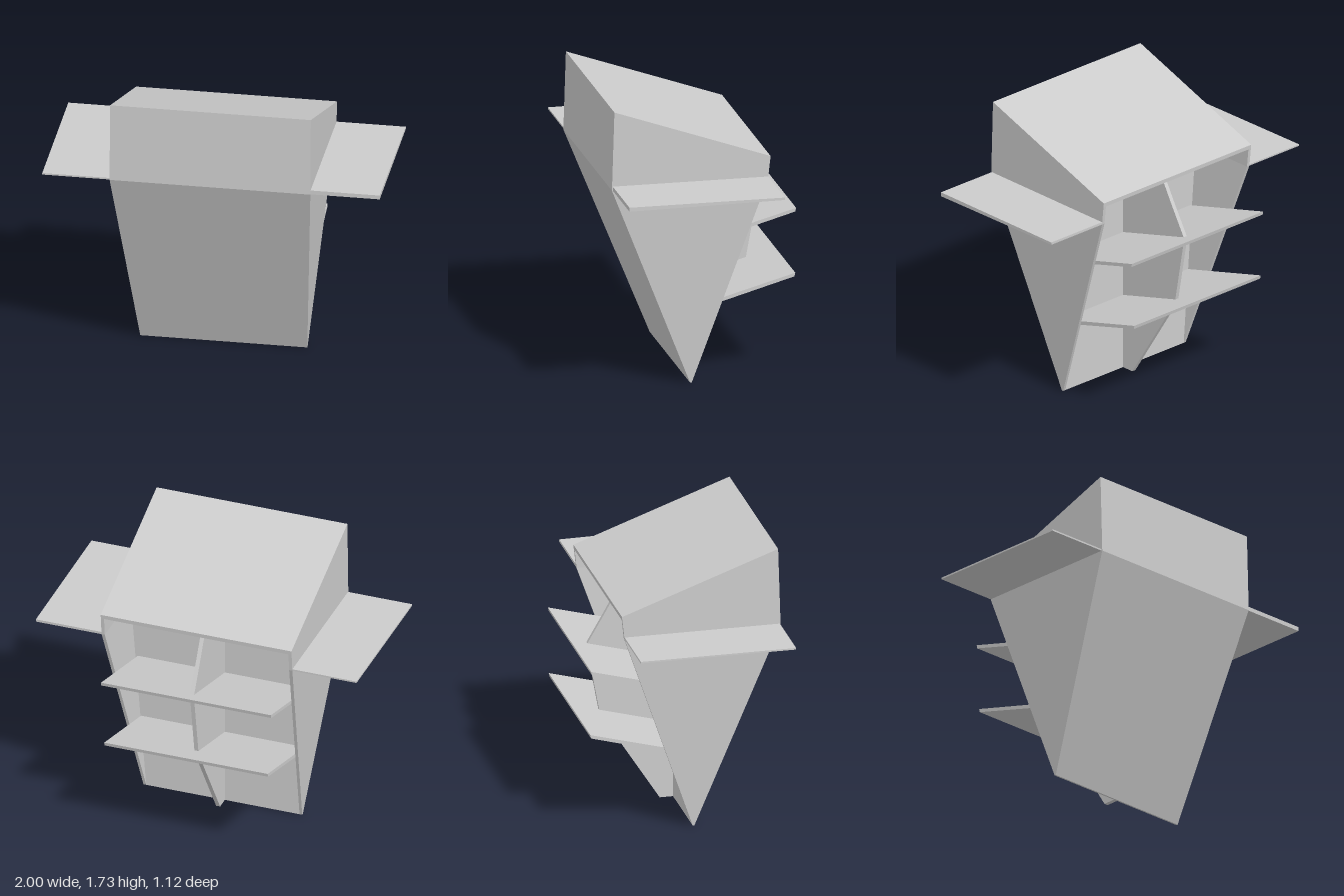
import * as THREE from 'three';

const CX = -0.005;      // middle plane of the cabinet
const HALF = 0.595;     // half width at and above the wings
const SEAM = 1.25;      // height where the taper ends
const T = 0.02;         // board thickness

const material = new THREE.MeshStandardMaterial({ color: 0xcccccc, flatShading: true });

// Board with a (z, y) outline, spanning x0..x1; tapered boards narrow towards the ground
function board(name, outline, x0, x1, tapered = false) {
  const shape = new THREE.Shape(outline.map(([z, y]) => new THREE.Vector2(z, y)));
  const geo = new THREE.ExtrudeGeometry(shape, { depth: x1 - x0, bevelEnabled: false });
  geo.rotateY(-Math.PI / 2).translate(x1, 0, 0);
  if (tapered) {
    const p = geo.attributes.position;
    for (let i = 0; i < p.count; i++) {
      const k = (0.495 + 0.1 * Math.min(1, p.getY(i) / SEAM)) / HALF;
      p.setX(i, CX + (p.getX(i) - CX) * k);
    }
  }
  geo.computeVertexNormals();
  const mesh = new THREE.Mesh(geo, material);
  mesh.name = name;
  return mesh;
}

export function createModel() {
  const model = new THREE.Group();
  model.name = 'displayStand';
  const L = CX - HALF, R = CX + HALF;

  // Leaning front and the box front above it
  model.add(board('frontPanel', [[0.07, 0], [0.565, SEAM], [0.545, SEAM], [0.06, 0]], L, R, true));
  model.add(board('hoodFront', [[0.565, SEAM], [0.55, 1.73], [0.53, 1.72], [0.545, SEAM]], L, R));

  // Sloping lid, open at the back
  model.add(board('hoodTop', [[0.55, 1.73], [-0.39, 1.39], [-0.388, 1.365], [0.55, 1.705]], L, R));

  // Side walls: tapering triangle below, hood cheek above
  for (const [side, x0, x1] of [['right', L, L + T], ['left', R - T, R]]) {
    model.add(board(side + 'SidePanel', [[0.07, 0], [0.565, SEAM], [-0.375, SEAM], [0.06, 0]], x0, x1, true));
    model.add(board(side + 'HoodCheek', [[0.565, SEAM], [0.55, 1.73], [-0.39, 1.39], [-0.375, SEAM]], x0, x1));
  }

  // Upright panel behind the shelves
  model.add(board('innerPanel', [[0.06, 0], [0.07, 0], [0.07, SEAM], [0.06, SEAM]], L + 0.01, R - 0.01, true));
  model.add(board('innerPanelTop', [[0.06, SEAM], [0.07, SEAM], [0.07, 1.54], [0.06, 1.54]], L + 0.01, R - 0.01));

  // Central rib that carries the shelves
  model.add(board('centralRib', [
    [0.07, 0], [-0.02, 0], [-0.38, 0.56], [-0.46, 1.0], [-0.35, 1.19], [-0.22, 1.425], [0.07, 1.53],
  ], CX - 0.0125, CX + 0.0125));

  // Tilted shelves
  for (const [name, y, half] of [['lowerShelf', 0.61, 0.51], ['upperShelf', 1.015, 0.53]]) {
    const drop = 0.17;
    model.add(board(name, [
      [-0.555, y], [-0.56, y + 0.022], [0.065, y + 0.024 - drop], [0.065, y - drop],
    ], CX - half, CX + half));
  }

  // Side wings
  model.add(board('leftWing', [[0.56, SEAM], [0.56, 1.275], [-0.375, 1.265], [-0.375, SEAM]], R, 1));
  model.add(board('rightWing', [[0.56, SEAM], [0.56, 1.26], [-0.375, 1.26], [-0.375, SEAM]], -1, L));

  return model;
}
